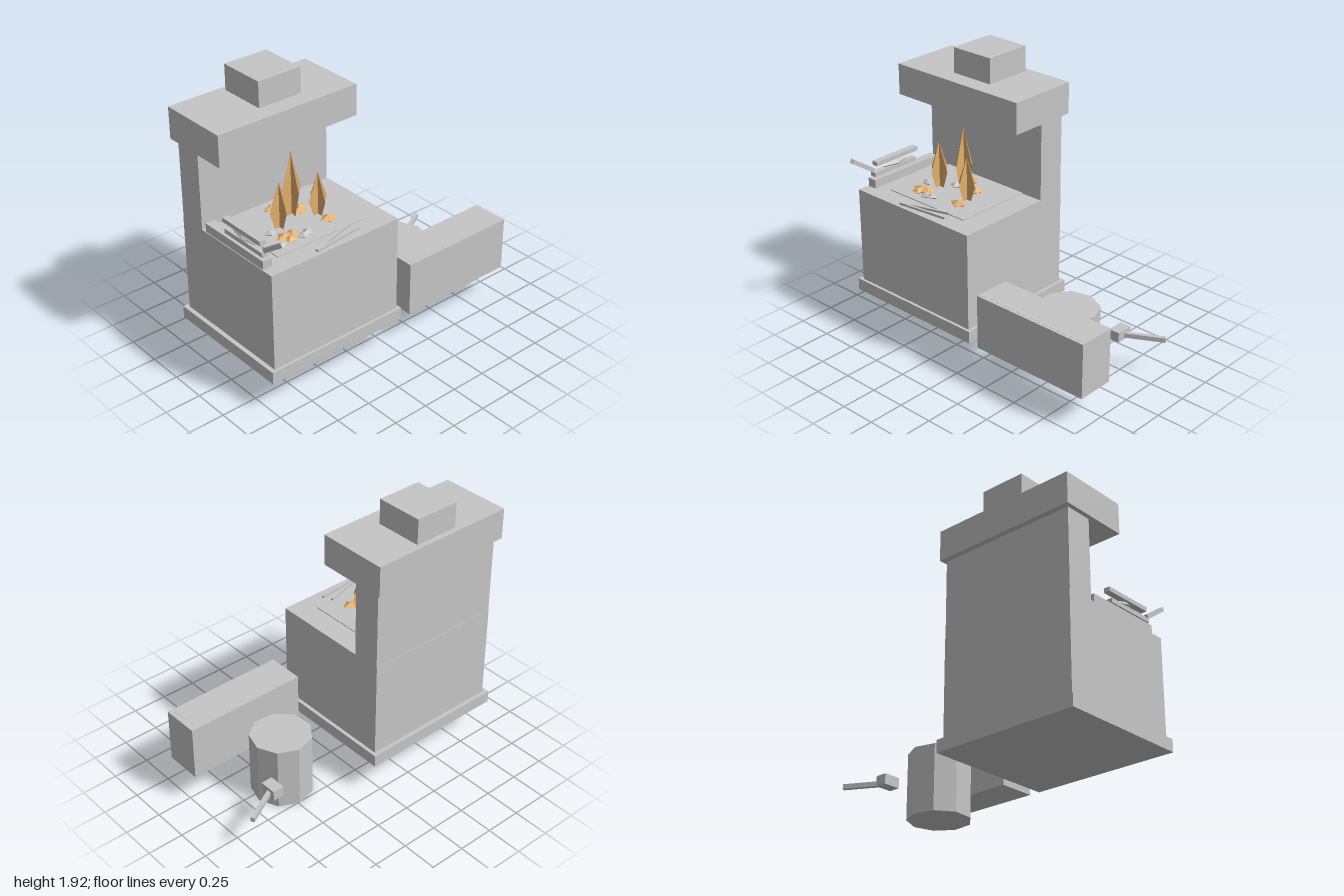
import * as THREE from 'three';

const stone = new THREE.MeshStandardMaterial({ color: 0xc6c6c6, flatShading: true });
stone.name = 'grey';
const ember = new THREE.MeshStandardMaterial({ color: 0xe2af6e, flatShading: true, side: THREE.DoubleSide });
ember.name = 'fire orange';

export function createModel() {
  const model = new THREE.Group();
  model.name = 'forge';

  function add(name, geometry, material = stone) {
    const mesh = new THREE.Mesh(geometry, material);
    mesh.name = name;
    model.add(mesh);
    return mesh;
  }

  // Box given by its extents on each axis
  function box(name, x0, x1, y0, y1, z0, z1) {
    const mesh = add(name, new THREE.BoxGeometry(x1 - x0, y1 - y0, z1 - z0));
    mesh.position.set((x0 + x1) / 2, (y0 + y1) / 2, (z0 + z1) / 2);
    return mesh;
  }

  // Square bar running from one point to another
  function bar(name, from, to, width, height) {
    const a = new THREE.Vector3(...from), b = new THREE.Vector3(...to);
    const mesh = add(name, new THREE.BoxGeometry(width, height, a.distanceTo(b)));
    mesh.position.copy(a).add(b).multiplyScalar(0.5);
    mesh.lookAt(b);
    return mesh;
  }

  // Hearth, back wall, hood and chimney
  box('plinth', -1, 0.055, 0.22, 0.305, -0.5, 0.44);
  box('hearthBody', -0.97, 0.03, 0.3, 0.98, -0.47, 0.42);
  box('backWall', -0.97, 0.03, 0.98, 1.535, -0.467, -0.27);
  box('hood', -1, 0.055, 1.53, 1.745, -0.505, -0.005);
  box('chimney', -0.605, -0.285, 1.74, 1.92, -0.465, -0.13);
  box('fireBed', -0.815, -0.13, 0.978, 0.986, -0.37, 0.285);

  // Flames: two crossed upright kites each [x, z, top, widest height, half width]
  const flames = [
    [-0.6, 0.03, 1.31, 1.11, 0.073],
    [-0.445, -0.045, 1.435, 1.16, 0.075],
    [-0.318, 0.06, 1.29, 1.1, 0.072],
  ];
  for (const [x, z, top, mid, w] of flames) {
    const kite = new THREE.Shape([
      new THREE.Vector2(-w * 0.5, 0.99), new THREE.Vector2(w * 0.5, 0.99),
      new THREE.Vector2(w, mid), new THREE.Vector2(0, top), new THREE.Vector2(-w, mid),
    ]);
    for (const turn of [0, Math.PI / 2]) {
      const blade = add('flame', new THREE.ShapeGeometry(kite), ember);
      blade.position.set(x, 0, z);
      blade.rotation.y = turn;
    }
  }

  // Coals and ash: flattened faceted lumps [x, z, half length, half depth, material, turn]
  const lumps = [
    [-0.65, 0.145, 0.07, 0.055, ember, 0.2], [-0.6, 0.15, 0.05, 0.06, ember, -0.5],
    [-0.64, 0.19, 0.045, 0.045, ember, 0.6],
    [-0.31, 0.15, 0.067, 0.05, ember, 0],
    [-0.39, -0.04, 0.07, 0.05, ember, 0.1], [-0.36, -0.07, 0.055, 0.045, ember, 0.7],
    [-0.5, -0.17, 0.07, 0.045, ember, -0.2],
    [-0.695, 0.055, 0.042, 0.032, stone, -0.3],
    [-0.555, 0.205, 0.045, 0.035, stone, -0.3], [-0.51, 0.19, 0.04, 0.035, stone, 0.2],
    [-0.52, -0.04, 0.045, 0.035, stone, 0.3],
  ];
  for (const [x, z, length, depth, material, turn] of lumps) {
    const lump = add(material === ember ? 'coal' : 'ash', new THREE.OctahedronGeometry(1, 0), material);
    lump.position.set(x, 0.996, z);
    lump.scale.set(length, 0.026, depth);
    lump.rotation.y = turn;
  }

  // Tongs lying at the front edge
  bar('tongs', [-0.6, 0.99, 0.39], [-0.235, 0.99, 0.35], 0.017, 0.015);
  bar('tongs', [-0.6, 0.99, 0.385], [-0.26, 0.99, 0.285], 0.017, 0.015);

  // Bellows on a stand, with a raised handle
  box('bellowsStand', -0.965, -0.9, 0.98, 1.04, -0.235, 0.335);
  box('bellowsLowerBoard', -0.957, -0.913, 1.055, 1.085, -0.05, 0.32);
  box('bellowsUpperBoard', -0.957, -0.913, 1.125, 1.155, -0.07, 0.3);
  const bag = add('bellowsBag', new THREE.OctahedronGeometry(1, 0));
  bag.scale.set(0.03, 0.035, 0.12);
  bag.position.set(-0.935, 1.095, 0.12);
  bar('bellowsHandle', [-0.935, 1.1, 0.32], [-0.935, 1.22, 0.495], 0.03, 0.03);

  // Trough with its water surface
  box('trough', 0.13, 0.995, 0.22, 0.6, 0.18, 0.44);
  box('water', 0.16, 0.96, 0.597, 0.601, 0.2, 0.42);

  // Nine-sided barrel
  const barrel = add('barrel', new THREE.CylinderGeometry(0.208, 0.208, 0.445, 9));
  barrel.position.set(0.468, 0.2225, -0.05);
  barrel.rotation.y = THREE.MathUtils.degToRad(14.5);

  // Hammer
  box('hammerHead', 0.68, 0.76, 0.225, 0.295, -0.33, -0.21);
  bar('hammerHandle', [0.74, 0.255, -0.27], [0.99, 0.255, -0.405], 0.028, 0.032);

  return model;
}
